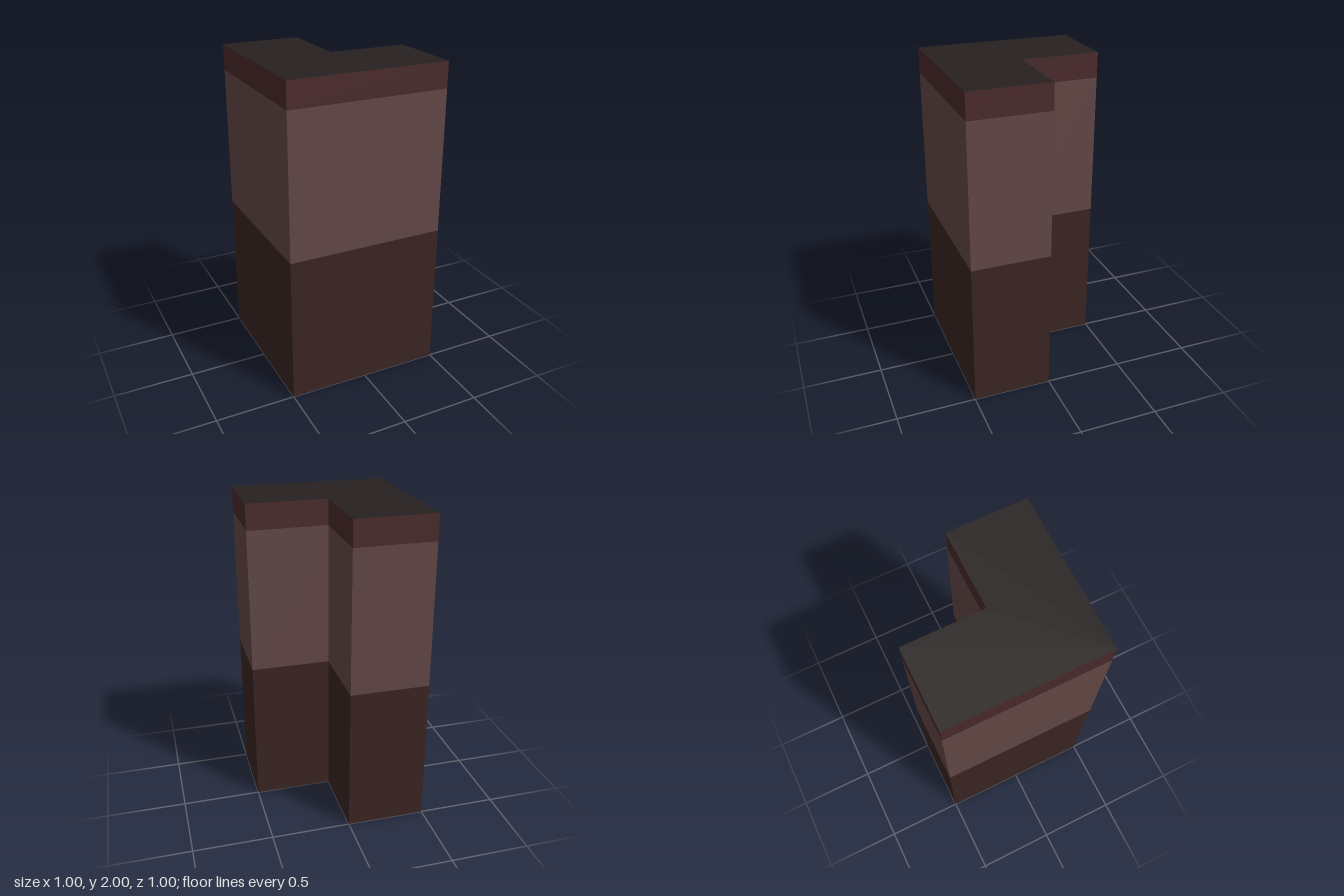
import * as THREE from 'three';
import { mergeGeometries } from 'three/addons/utils/BufferGeometryUtils.js';

// L-shaped plan, counter-clockwise from above, as (x, -z)
const plan = [[-0.5, -0.5], [0.5, -0.5], [0.5, 0], [0, 0], [0, 0.5], [-0.5, 0.5]]
  .map(([x, y]) => new THREE.Vector2(x, y));

const paint = (color) => new THREE.MeshStandardMaterial({ color, side: THREE.DoubleSide });

// A ring of flat walls following the plan between two heights
function wallBand(name, bottom, top, color) {
  const walls = plan.map((a, i) => {
    const b = plan[(i + 1) % plan.length];
    return new THREE.PlaneGeometry(a.distanceTo(b), top - bottom)
      .rotateY(Math.atan2(b.y - a.y, b.x - a.x))
      .translate((a.x + b.x) / 2, (bottom + top) / 2, -(a.y + b.y) / 2);
  });
  const mesh = new THREE.Mesh(mergeGeometries(walls), paint(color));
  mesh.name = name;
  return mesh;
}

export function createModel() {
  const model = new THREE.Group();
  model.name = 'cornerColumn';

  // Three painted bands, open at the bottom
  model.add(
    wallBand('lowerWall', 0, 0.935, 0x3a2522),
    wallBand('middleWall', 0.935, 1.84, 0x624846),
    wallBand('topTrim', 1.84, 2, 0x4a2a2b),
  );

  // Flat cap closing the top
  const cap = new THREE.Mesh(
    new THREE.ShapeGeometry(new THREE.Shape(plan)).rotateX(-Math.PI / 2).translate(0, 2, 0),
    paint(0x272120),
  );
  cap.name = 'topCap';
  model.add(cap);

  return model;
}
